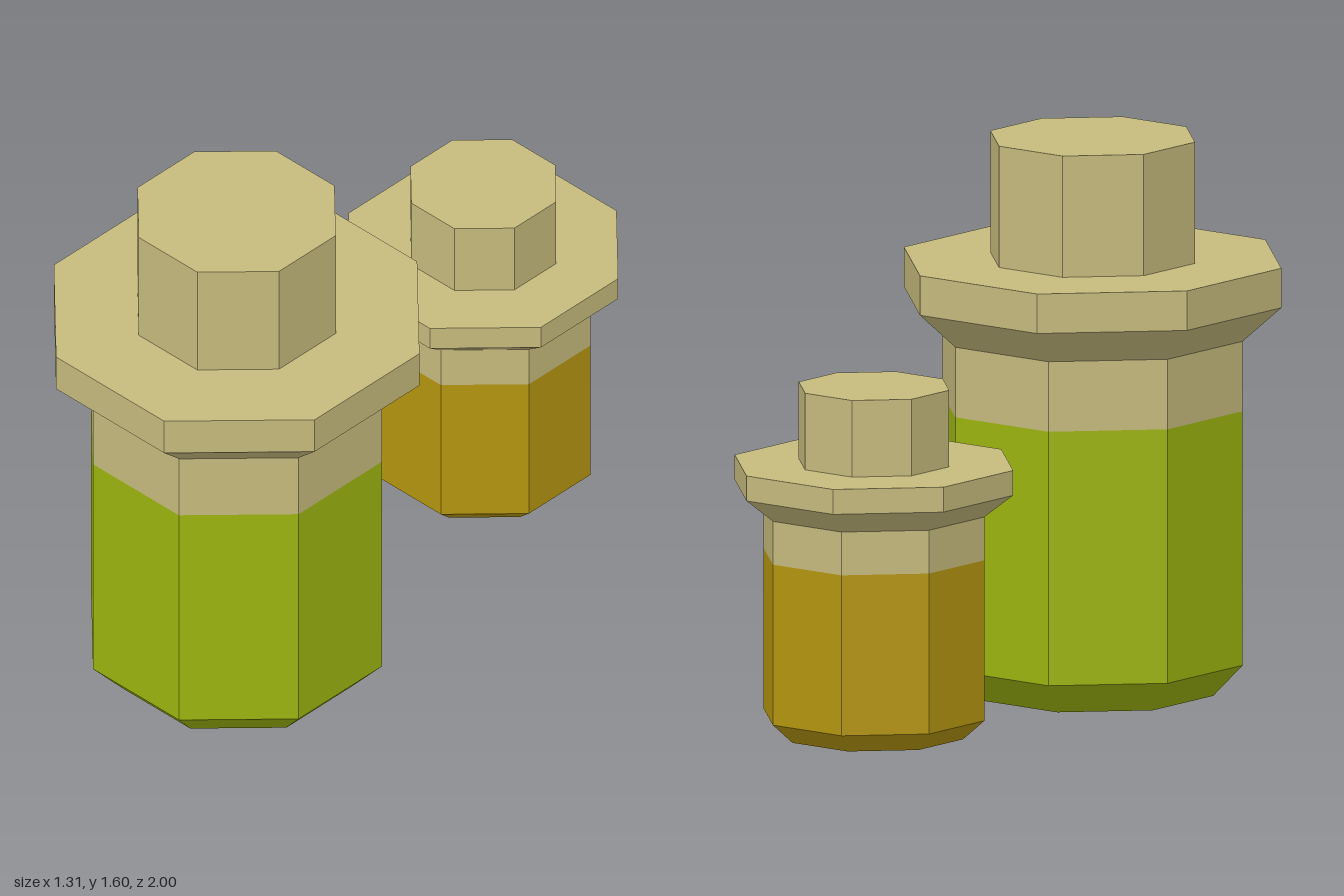
import * as THREE from 'three';

const SIDES = 8;

export function createModel() {
  const group = new THREE.Group();
  const cork = new THREE.MeshStandardMaterial({ color: 0xc6ba7d, flatShading: true });
  cork.name = 'tan';
  const green = new THREE.MeshStandardMaterial({ color: 0x9cb40f, flatShading: true });
  green.name = 'green liquid';
  const amber = new THREE.MeshStandardMaterial({ color: 0xb4950f, flatShading: true });
  amber.name = 'amber liquid';

  // Faceted solid of revolution from [radius, height] pairs, bottom to top
  const turned = (name, profile, material) => {
    const points = profile.map(([r, y]) => new THREE.Vector2(r, y));
    const mesh = new THREE.Mesh(new THREE.LatheGeometry(points, SIDES), material);
    mesh.name = name;
    return mesh;
  };

  // Jar: filled body with chamfered base, bare neck, flared rim, stopper
  const jar = (name, liquid, x, z, d) => {
    const part = new THREE.Group();
    part.name = name;
    part.position.set(x, 0, z);
    part.add(
      turned('filledBody', [[0, d.base], [d.baseR, d.base], [d.bodyR, d.chamfer], [d.bodyR, d.fill]], liquid),
      turned('neckAndRim', [[d.bodyR, d.fill], [d.bodyR, d.neck], [d.rimR, d.rim], [d.rimR, d.rimTop], [0, d.rimTop]], cork),
      turned('stopper', [[d.capR, d.rimTop], [d.capR, d.top], [0, d.top]], cork),
    );
    group.add(part);
  };

  jar('largeJar', green, -0.1, 0.44, {
    base: 0, baseR: 0.356, chamfer: 0.093, bodyR: 0.443, fill: 0.826,
    neck: 1.028, rim: 1.131, rimR: 0.557, rimTop: 1.245, capR: 0.302, top: 1.595,
  });
  jar('smallJar', amber, 0.243, -0.59, {
    base: 0.045, baseR: 0.263, chamfer: 0.102, bodyR: 0.326, fill: 0.565,
    neck: 0.69, rim: 0.757, rimR: 0.411, rimTop: 0.829, capR: 0.222, top: 1.05,
  });

  return group;
}
